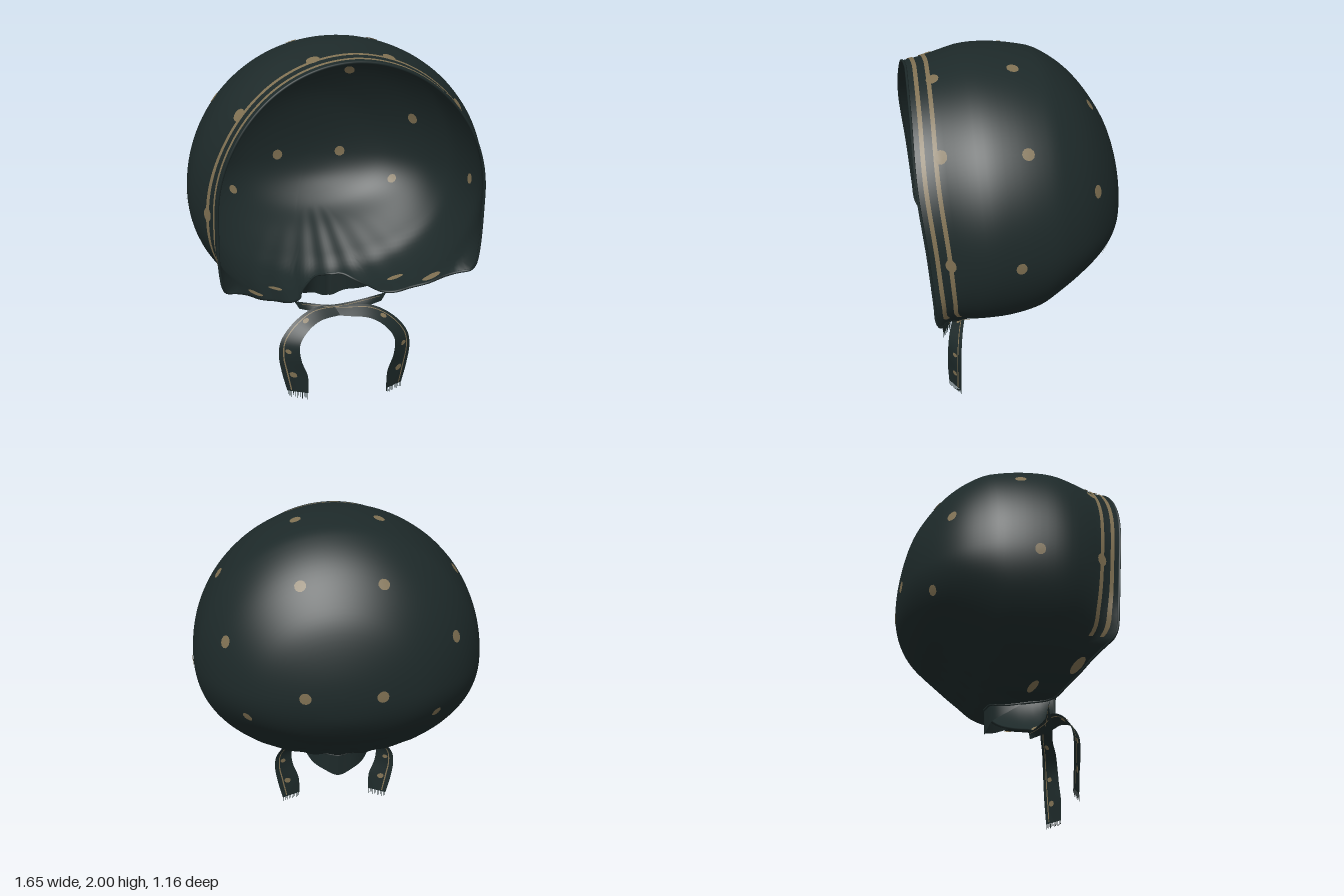
import * as THREE from 'three';
import { mergeVertices } from 'three/addons/utils/BufferGeometryUtils.js';

const CY = 1.18, ZP = -0.575; // height of the crown pole and its depth
const D = Math.PI / 180;

// smooth interpolation of column c in a table keyed by column 0
function sample(t, x, c) {
  const n = t.length - 1;
  let i = 0;
  while (i < n - 1 && x > t[i + 1][0]) i++;
  const slope = (k) => {
    const a = t[Math.max(k - 1, 0)], b = t[Math.min(k + 1, n)];
    return (b[c] - a[c]) / (b[0] - a[0]);
  };
  const h = t[i + 1][0] - t[i][0];
  const s = Math.min(Math.max((x - t[i][0]) / h, 0), 1), s2 = s * s, s3 = s2 * s;
  return (2 * s3 - 3 * s2 + 1) * t[i][c] + (s3 - 2 * s2 + s) * h * slope(i)
    + (3 * s2 - 2 * s3) * t[i + 1][c] + (s3 - s2) * h * slope(i + 1);
}

// cross-sections: depth z, height above centre, half width, drop below centre, lower fullness
const sections = [
  [-0.575, 0, 0, 0, 2], [-0.56, 0.17, 0.2, 0.12, 2], [-0.51, 0.365, 0.4, 0.22, 2.05],
  [-0.445, 0.49, 0.525, 0.3, 2.05], [-0.31, 0.66, 0.675, 0.403, 2.05], [-0.154, 0.77, 0.77, 0.53, 2.05],
  [-0.06, 0.797, 0.8, 0.605, 2.05], [0.1, 0.818, 0.821, 0.65, 2.05], [0.25, 0.815, 0.818, 0.652, 2.1],
  [0.38, 0.783, 0.775, 0.655, 2.2], [0.46, 0.762, 0.733, 0.65, 2.7], [0.505, 0.752, 0.72, 0.69, 3.9],
  [0.58, 0.738, 0.708, 0.69, 4.2],
].map(([z, ...r]) => [Math.sqrt(z - ZP), ...r]);

// depth of the open edge against elevation angle
const edge = [[-90, -0.06], [-80, -0.02], [-73, 0.1], [-69, 0.24], [-60, 0.305], [-46, 0.39],
  [-37, 0.46], [-30, 0.508], [-22, 0.518], [0, 0.54], [30, 0.574], [60, 0.57], [90, 0.56]];
const edgeZ = (th) => sample(edge, Math.asin(Math.sin(th)) / D, 1);

// point on the hood: s = 0 at the back pole, 1 at the open edge
function hood(th, s) {
  const z = ZP + (edgeZ(th) - ZP) * s * s, q = Math.sqrt(Math.max(z - ZP, 0));
  const c = Math.abs(Math.cos(th)), sn = Math.sin(th), low = sn < 0;
  const w = Math.max(sample(sections, q, 2), 1e-5), h = Math.max(sample(sections, q, low ? 3 : 1), 1e-5);
  const n = low ? sample(sections, q, 4) : 2;
  let r = Math.pow(Math.pow(c / w, n) + Math.pow(Math.abs(sn) / h, n), -1 / n);
  // gathers running into the neck
  const g = Math.max(0, -sn - 0.6) * Math.max(0, s - 0.5);
  r += 0.03 * g * Math.cos(26 * (th + Math.PI / 2));
  return new THREE.Vector3(Math.cos(th) * r, CY + sn * r, z);
}

function frame(th, s) {
  const e = 0.004, s1 = Math.min(s + e, 1);
  const tu = hood(th + e, s).sub(hood(th - e, s)).divideScalar(2 * e);
  const tv = hood(th, s1).sub(hood(th, s - e)).divideScalar(s1 - s + e);
  return { tu, tv, n: tu.clone().cross(tv).normalize() };
}
const raised = (th, s, off) => hood(th, s).addScaledVector(frame(th, s).n, off);
const depthToS = (th, z) => Math.sqrt((z - ZP) / (edgeZ(th) - ZP));

// surface grid from a point function of u, v in 0..1
function patch(fn, nu, nv) {
  const pos = [], idx = [];
  for (let j = 0; j <= nv; j++) for (let i = 0; i <= nu; i++) pos.push(...fn(i / nu, j / nv).toArray());
  for (let j = 0; j < nv; j++) for (let i = 0; i < nu; i++) {
    const a = j * (nu + 1) + i, b = a + nu + 1;
    idx.push(a, a + 1, b, a + 1, b + 1, b);
  }
  let g = new THREE.BufferGeometry();
  g.setAttribute('position', new THREE.Float32BufferAttribute(pos, 3));
  g.setIndex(idx);
  g = mergeVertices(g, 1e-5);
  g.computeVertexNormals();
  return g;
}

// oval spot lying on the hood: radius around the hood, radius front to back
function spot(th, z, ra, rb, off) {
  const s = depthToS(th, z), { tu, tv, n } = frame(th, s);
  const e1 = tu.clone().normalize(), e2 = n.clone().cross(e1);
  const E = tu.dot(tu), F = tu.dot(tv), G = tv.dot(tv), det = E * G - F * F;
  return patch((u, v) => {
    const a = u * Math.PI * 2;
    const d = e1.clone().multiplyScalar(Math.cos(a) * ra * v).addScaledVector(e2, Math.sin(a) * rb * v);
    const du = d.dot(tu), dv = d.dot(tv);
    return raised(th + (G * du - F * dv) / det, Math.min(s + (E * dv - F * du) / det, 0.998), off);
  }, 12, 2);
}

export function createModel() {
  const root = new THREE.Group();
  root.name = 'bonnet';
  const cloth = new THREE.MeshStandardMaterial({ color: 0x1d2929, side: THREE.DoubleSide });
  cloth.name = 'dark teal cloth';
  const tan = new THREE.MeshStandardMaterial({ color: 0x7f7052, side: THREE.DoubleSide });
  tan.name = 'tan print';
  const add = (geo, mat, name, parent = root) => {
    const m = new THREE.Mesh(geo, mat);
    m.name = name;
    parent.add(m);
    return m;
  };

  // hood and gathered neck frill
  add(patch((u, v) => hood((u * 360 - 90) * D, v), 180, 44), cloth, 'hood');
  add(patch((u, v) => {
    const k = u * 2 - 1, p = hood((-90 + 18 * k) * D, 1);
    p.y -= 0.135 * v * Math.cos(k * Math.PI / 2);
    p.x *= 1 + 0.12 * v * (1 - k * k);
    return p;
  }, 32, 4), cloth, 'neckFrill');

  // hem along the open edge
  const hem = [];
  for (let i = 0; i < 120; i++) hem.push(hood((i * 3 - 90) * D, 1));
  add(new THREE.TubeGeometry(new THREE.CatmullRomCurve3(hem, true), 240, 0.007, 6, true), cloth, 'hem');

  // two stripes following the front brim
  for (const back of [0.045, 0.107]) {
    add(patch((u, v) => {
      const th = (-33 + 246 * u) * D;
      return raised(th, depthToS(th, edgeZ(th) - back - 0.011 + 0.022 * v), 0.005);
    }, 120, 2), tan, 'brimStripe');
  }

  // spots: angle, depth, two radii, shown inside too
  const spots = [[69, -0.375, 0.031, 0.031, 1], [3, -0.56, 0.032, 0.032, 1], [22, -0.335, 0.035, 0.03, 1],
    [-17, -0.415, 0.03, 0.026, 1], [74, 0.035, 0.032, 0.032, 1], [37.6, 0.03, 0.032, 0.032, 1],
    [-2.5, 0.09, 0.032, 0.028, 1], [-59, 0.14, 0.05, 0.02, 1], [-46, 0.345, 0.06, 0.025, 1],
    [75, 0.44, 0.036, 0.034, 0], [40, 0.445, 0.036, 0.034, 0], [-2, 0.43, 0.036, 0.03, 0]];
  for (const [deg, z, ra, rb, inside] of spots) for (const a of [deg, 180 - deg]) {
    add(spot(a * D, z, ra, rb, 0.005), tan, 'spot');
    if (inside) add(spot(a * D, z, ra, rb, -0.005), tan, 'innerSpot');
  }

  // ties: two edge curves, crossing under the chin and hanging down
  const upper = [[0.27, 0.55, 0.25], [0.12, 0.525, 0.255], [0, 0.515, 0.265], [-0.17, 0.51, 0.285],
    [-0.29, 0.45, 0.32], [-0.365, 0.36, 0.34], [-0.38, 0.28, 0.345], [-0.365, 0.17, 0.345], [-0.335, 0.05, 0.345]];
  const lower = [[0.24, 0.5, 0.25], [0.12, 0.485, 0.285], [0, 0.47, 0.315], [-0.14, 0.46, 0.35],
    [-0.22, 0.42, 0.385], [-0.27, 0.35, 0.405], [-0.265, 0.26, 0.41], [-0.23, 0.16, 0.41], [-0.225, 0.05, 0.405]];
  for (const side of [1, -1]) {
    const tie = new THREE.Group();
    tie.name = side > 0 ? 'rightTie' : 'leftTie';
    root.add(tie);
    const drop = side > 0 ? 0 : 0.022;
    const curve = (pts) => new THREE.CatmullRomCurve3(pts.map(([x, y, z], i) =>
      new THREE.Vector3(x * side, y - drop * i / 8, z + (side < 0 && i > 0 ? 0.012 : 0))));
    const A = curve(upper), B = curve(lower);
    const at = (t, k, off = 0) => {
      const p = A.getPoint(t).lerp(B.getPoint(t), k);
      if (!off) return p;
      const along = A.getPoint(Math.min(t + 0.01, 1)).sub(A.getPoint(t - 0.01));
      const n = along.cross(B.getPoint(t).sub(A.getPoint(t))).normalize();
      return p.addScaledVector(n, off);
    };
    add(patch((u, v) => at(u, v), 48, 4), cloth, 'ribbon', tie);
    for (const off of [0.004, -0.004]) {
      add(patch((u, v) => at(0.03 + 0.96 * u, 0.2 + 0.06 * v, off), 48, 1), tan, 'ribbonStripe', tie);
      for (const t of [0.45, 0.7, 0.88]) {
        add(patch((u, v) => at(t + 0.02 * v * Math.cos(u * 2 * Math.PI),
          0.45 + 0.15 * v * Math.sin(u * 2 * Math.PI), off), 10, 1), tan, 'ribbonSpot', tie);
      }
    }
    // frayed end
    for (let i = 0; i < 12; i++) {
      const p = at(1, (i + 0.5) / 12), len = side > 0 ? 0.022 + 0.008 * (i % 3) : 0.028 - 0.004 * (i % 3);
      add(new THREE.BoxGeometry(0.003, len, 0.003), cloth, 'fringe', tie).position.set(p.x, p.y - len / 2, p.z);
    }
  }
  return root;
}
